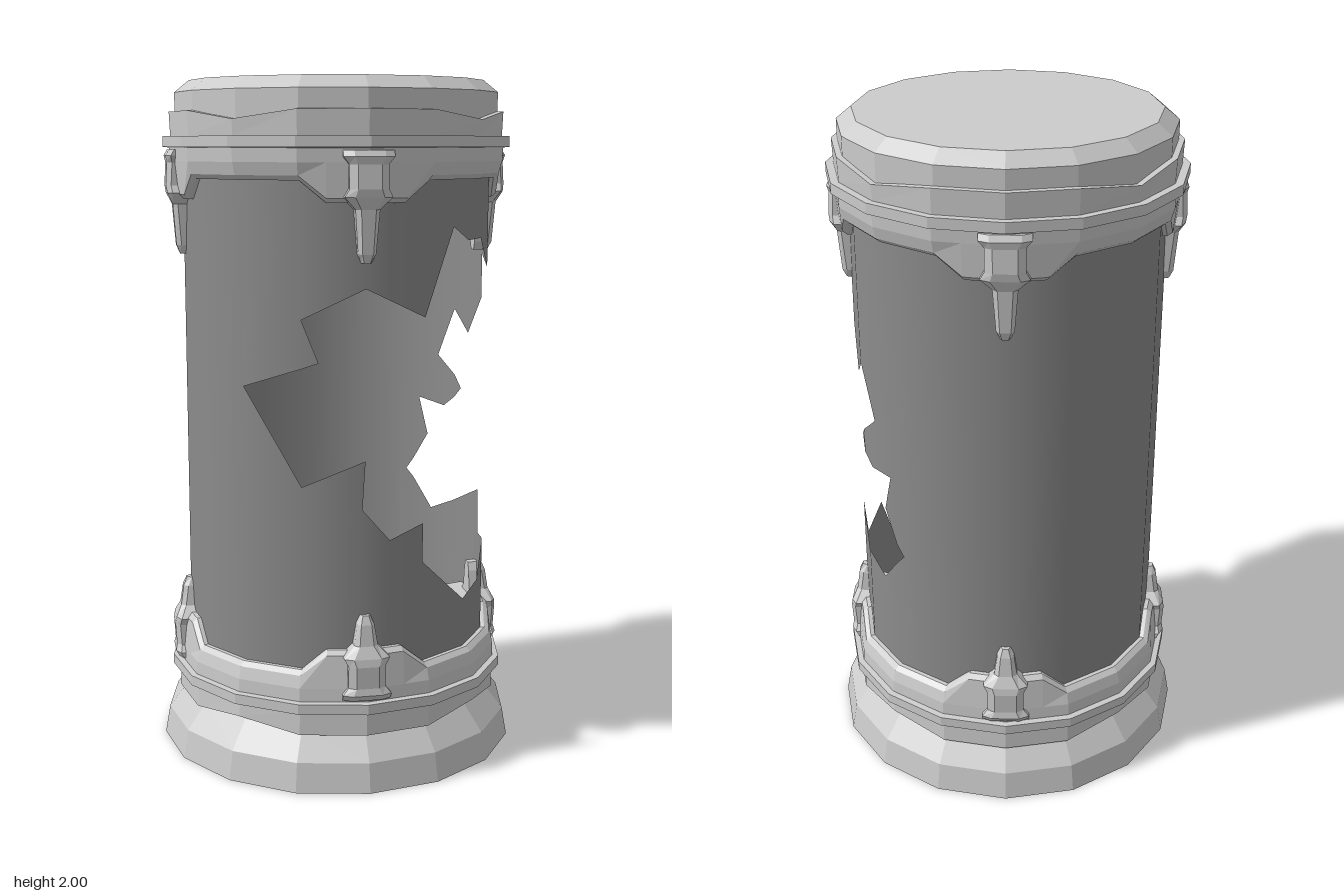
import * as THREE from 'three';

const RAD = Math.PI / 180;
const STEP = 22.5; // sixteen-sided parts
const MIRROR = 2.065; // the lower collar is the upper one flipped: y -> MIRROR - y

const metal = new THREE.MeshStandardMaterial({ color: 0xcccccc, flatShading: true, side: THREE.DoubleSide });
const glass = new THREE.MeshStandardMaterial({ color: 0x8c8c8c, side: THREE.DoubleSide });

// Point on a sixteen-sided prism of corner radius r at an angle from +z towards +x
function onPrism(deg, r, y) {
  const inFacet = ((deg % STEP) + STEP) % STEP;
  const d = r * Math.cos(STEP / 2 * RAD) / Math.cos((inFacet - STEP / 2) * RAD);
  return [d * Math.sin(deg * RAD), y, d * Math.cos(deg * RAD)];
}

// Closed solid through cross-sections listed from bottom to top
function loft(sections) {
  const n = sections[0].length, pos = [];
  const tri = (a, b, c) => pos.push(...a, ...b, ...c);
  for (let i = 0; i < sections.length - 1; i++) {
    const lo = sections[i], hi = sections[i + 1];
    for (let j = 0; j < n; j++) {
      const k = (j + 1) % n;
      tri(lo[j], lo[k], hi[k]);
      tri(lo[j], hi[k], hi[j]);
    }
  }
  const first = sections[0], last = sections[sections.length - 1];
  for (let j = 1; j < n - 1; j++) {
    tri(first[0], first[j + 1], first[j]);
    tri(last[0], last[j], last[j + 1]);
  }
  const geo = new THREE.BufferGeometry();
  geo.setAttribute('position', new THREE.Float32BufferAttribute(pos, 3));
  geo.computeVertexNormals();
  return geo;
}

function addMesh(parent, name, geo, mat) {
  const mesh = new THREE.Mesh(geo, mat);
  mesh.name = name;
  parent.add(mesh);
  return mesh;
}

function lathe(points) {
  return new THREE.LatheGeometry(points.map(([r, y]) => new THREE.Vector2(r, y)), 16);
}

// Collar rows, top down: radius, height, drop beside the clips, dip at the diagonals
const COLLAR = [
  [0.455, 1.912, 0, 0.027], [0.495, 1.91, 0, 0.025], [0.492, 1.84, 0, 0],
  [0.515, 1.84, 0, 0], [0.515, 1.81, 0, 0], [0.497, 1.808, 0, 0], [0.495, 1.77, 0, 0],
  [0.485, 1.735, 0.06, 0], [0.47, 1.722, 0.06, 0], [0.45, 1.722, 0.06, 0], [0, 1.68, 0, 0],
];
function collarGeometry(top) {
  const angles = [];
  for (let q = 0; q < 360; q += 90) for (const a of [0, 13.5, 22.5, 45, 67.5, 76.5]) angles.push(q + a);
  const rows = COLLAR.map(([r, y, drop, dip]) => angles.map((a) => {
    const fromClip = Math.abs(((a + 45) % 90) - 45);
    const h = y - (fromClip < 14 ? drop : 0) - (fromClip > 44 ? dip : 0);
    return onPrism(a, r, top ? h : MIRROR - h);
  }));
  return loft(top ? rows.reverse() : rows);
}

// Clip gripping the glass: rows of height, half width, outer radius, top down
function clipGeometry(top) {
  const tip = top ? 1.5 : 1.56;
  const rows = [
    [1.802, 0.07, 0.5], [1.785, 0.07, 0.51], [1.765, 0.054, 0.506], [1.7, 0.054, 0.51],
    [1.678, 0.066, 0.506], [1.645, 0.034, 0.49], [tip + 0.025, 0.025, 0.481], [tip, 0.014, 0.47],
  ].map(([h, w, r]) => {
    const y = top ? h : MIRROR - h, inner = 0.425;
    return [[-w, y, inner], [-w, y, r - 0.014], [-w * 0.6, y, r],
      [w * 0.6, y, r], [w, y, r - 0.014], [w, y, inner]];
  });
  return loft(top ? rows.reverse() : rows);
}

// Jagged outline of the break in the glass: angle, height
const BREAK = [
  [-45, 1.15], [-16.5, 1.225], [-22.5, 1.345], [0, 1.43], [22.5, 1.345], [37, 1.59], [45, 1.55],
  [59, 1.55], [67.5, 1.46], [90, 1.485], [90, 1.35], [101, 1.23], [113, 1.295], [121.5, 1.14],
  [106.5, 1.045], [118, 0.975], [132, 0.99], [127, 0.87], [138, 0.74], [124.5, 0.62], [90, 0.74],
  [86, 0.605], [67.5, 0.63], [61.5, 0.51], [45, 0.49], [22.5, 0.64], [22.5, 0.755], [9.5, 0.715],
  [-1, 0.81], [0, 0.95], [-22.5, 0.875],
];

// Glass wall in narrow columns, each filled above, below and between the break's edges
function glassGeometry() {
  const R = 0.457, bottom = 0.31, top = 1.755;
  const cuts = new Set(BREAK.map((p) => p[0]));
  for (let a = -180; a <= 180; a += STEP) cuts.add(a);
  const xs = [...cuts].sort((a, b) => a - b);
  const pos = [], nor = [];
  const put = (a, y) => {
    pos.push(...onPrism(a, R, y));
    nor.push(Math.sin(a * RAD), 0, Math.cos(a * RAD));
  };
  for (let i = 0; i < xs.length - 1; i++) {
    const a = xs[i], b = xs[i + 1], mid = (a + b) / 2;
    const lines = [[bottom, bottom], [top, top]];
    BREAK.forEach((p, j) => {
      const q = BREAK[(j + 1) % BREAK.length];
      if ((p[0] < mid) === (q[0] < mid)) return;
      const at = (x) => p[1] + (q[1] - p[1]) * (x - p[0]) / (q[0] - p[0]);
      lines.push([at(a), at(b)]);
    });
    lines.sort((l, m) => l[0] + l[1] - m[0] - m[1]);
    for (let k = 0; k < lines.length; k += 2) {
      const lo = lines[k], hi = lines[k + 1];
      put(a, lo[0]); put(b, lo[1]); put(b, hi[1]);
      put(a, lo[0]); put(b, hi[1]); put(a, hi[0]);
    }
  }
  const geo = new THREE.BufferGeometry();
  geo.setAttribute('position', new THREE.Float32BufferAttribute(pos, 3));
  geo.setAttribute('normal', new THREE.Float32BufferAttribute(nor, 3));
  return geo;
}

export function createModel() {
  const model = new THREE.Group();
  model.name = 'brokenGlassCanister';

  // Foot and lid
  addMesh(model, 'base', lathe([[0, 0], [0.545, 0], [0.53, 0.085], [0.468, 0.162], [0.455, 0.19], [0, 0.19]]), metal);
  addMesh(model, 'lid', lathe([[0, 1.87], [0.478, 1.87], [0.478, 1.965], [0.435, 2], [0, 2]]), metal);

  addMesh(model, 'brokenGlass', glassGeometry(), glass);

  // Collars with four clips each
  for (const top of [true, false]) {
    const end = new THREE.Group();
    end.name = top ? 'upperFitting' : 'lowerFitting';
    addMesh(end, 'collar', collarGeometry(top), metal);
    const clip = clipGeometry(top);
    for (let i = 0; i < 4; i++) addMesh(end, 'clip', clip, metal).rotation.y = i * Math.PI / 2;
    model.add(end);
  }
  return model;
}
